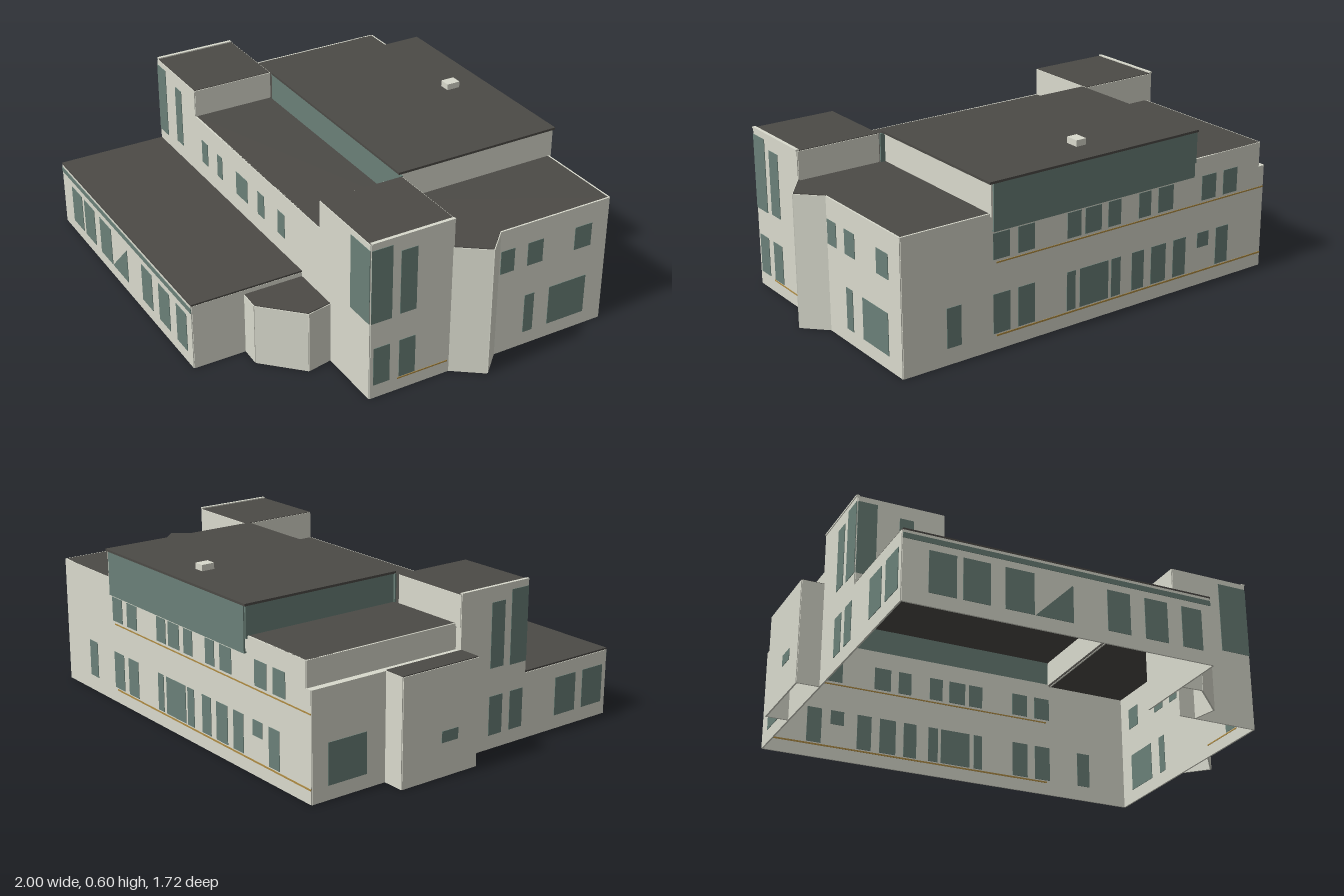
import * as THREE from 'three';

const mat = (name, color) => {
  const m = new THREE.MeshStandardMaterial({ color, side: THREE.DoubleSide });
  m.name = name;
  return m;
};

export function createModel() {
  const wall = mat('plaster', 0xd9dacd);
  const glass = mat('greenGlass', 0x6a8078);
  const roof = mat('roofing', 0x4c4a46);
  const trim = mat('ochreTrim', 0xb08d45);

  const root = new THREE.Group();
  root.name = 'building';
  // the plan is laid out square and turned 45 degrees
  const plan = new THREE.Group();
  plan.name = 'plan';
  plan.rotation.y = -Math.PI / 4;
  root.add(plan);

  const box = (name, m, u0, u1, y0, y1, v0, v1) => {
    const b = new THREE.Mesh(new THREE.BoxGeometry(u1 - u0, y1 - y0, v1 - v0), m);
    b.position.set((u0 + u1) / 2, (y0 + y1) / 2, (v0 + v1) / 2);
    b.name = name;
    plan.add(b);
    return b;
  };
  const T = 0.003; // half wall thickness
  const P = 0.0049; // half pane thickness
  // plate facing along u, or along v
  const uPlate = (name, m, u, v0, v1, y0, y1, t = T) => box(name, m, u - t, u + t, y0, y1, v0, v1);
  const vPlate = (name, m, v, u0, u1, y0, y1, t = T) => box(name, m, u0, u1, y0, y1, v - t, v + t);
  const slab = (name, u0, u1, v0, v1, y) => box(name, roof, u0, u1, y - 0.008, y, v0, v1);

  const U0 = -0.658, U1 = 0.85, V0 = -0.562, V1 = 0.351, VW = 0.755;
  const H = 0.47, HT = 0.57, HW = 0.24;

  // main block walls
  vPlate('longWall', wall, V0, U0, U1, 0, 0.38);
  vPlate('longWallUpper', wall, V0, U0 + 0.025, U1, 0.38, H);
  uPlate('endWall', wall, U1, V0, V1, 0, H);
  uPlate('rearWall', wall, U0, V0, V1, 0, 0.38);
  uPlate('rearWallUpper', wall, U0 + 0.025, V0, 0.05, 0.38, H);
  box('rearLedge', wall, U0, U0 + 0.025, 0.374, 0.38, V0, 0.05);
  vPlate('innerWall', wall, V1, U0, 0.545, 0.22, H);

  // main roofs around the raised hall
  slab('endRoof', 0.515, U1, V0, 0.05, H);
  slab('rearRoof', U0 + 0.025, -0.325, V0, 0.05, H);
  slab('sideRoof', -0.35, 0.545, 0.045, V1, H);

  // raised hall with glazed sides
  vPlate('clerestory', glass, 0.045, -0.335, 0.54, H - 0.01, 0.57);
  vPlate('hangingGlazing', glass, -0.572, -0.32, 0.515, 0.41, 0.575);
  box('glazingSoffit', glass, -0.32, 0.515, 0.41, 0.415, -0.572, V0);
  uPlate('hallRearGlazing', glass, -0.325, -0.572, 0.045, H - 0.01, 0.57);
  uPlate('hallEndWall', wall, 0.52, -0.572, 0.045, H - 0.01, 0.57);
  slab('hallRoof', -0.33, 0.53, -0.576, 0.05, 0.578);
  box('roofVent', wall, 0.07, 0.11, 0.578, 0.6, -0.47, -0.42);

  // two corner stair towers
  for (const [name, a, b, outer] of [['rearTower', U0, -0.35, U0], ['frontTower', 0.545, U1, U1]]) {
    const front = outer === U1;
    const inner = front ? a : b;
    uPlate(name + 'OuterWall', wall, outer, 0.05, V1, 0.37, HT);
    uPlate(name + 'InnerWall', wall, inner, 0.05, V1, H - 0.01, HT);
    vPlate(name + 'SideWall', wall, V1, a, b, front ? 0 : 0.22, HT);
    vPlate(name + 'BackWall', wall, 0.05, a, b, H - 0.01, HT);
    slab(name + 'Roof', a, b, 0.05, V1, HT + 0.002);
    uPlate(name + 'Parapet', wall, outer, 0.05, V1, HT, HT + 0.006, 0.006);
    // tall corner glazing and stair windows
    uPlate(name + 'CornerWindow', glass, outer, 0.275, V1, 0.285, 0.55, P);
    const c = front ? [0.737, U1] : [U0, -0.59];
    vPlate(name + 'CornerWindow', glass, V1, c[0], c[1], 0.285, 0.55, P);
    uPlate(name + 'TallWindow', glass, outer, 0.185, 0.245, 0.29, 0.52, P);
    for (const v of [0.185, 0.28]) uPlate(name + 'LowWindow', glass, outer, v, v + 0.06, 0.05, 0.19, P);
  }
  vPlate('tallSideWindow', glass, V1, -0.51, -0.46, 0.3, 0.52, P);

  // low wing
  vPlate('wingWall', wall, VW, U0, 0.424, 0, HW);
  uPlate('wingEnd', wall, 0.424, V1, VW, 0, HW);
  uPlate('wingRearEnd', wall, U0, V1, VW, 0, HW);
  slab('wingRoof', U0, 0.426, V1, VW + 0.003, HW + 0.006);
  vPlate('wingFascia', glass, VW, U0, 0.424, 0.212, 0.23, P);
  for (const v of [0.5, 0.635]) uPlate('wingEndWindow', glass, U0, v, v + 0.1, 0.05, 0.19, P);
  for (const [x0, x1] of [[-0.94, -0.875], [-0.86, -0.795], [-0.76, -0.69], [-0.508, -0.45], [-0.412, -0.353], [-0.315, -0.262]])
    vPlate('wingWindow', glass, VW, 1.414 * x0 + 0.757, 1.414 * x1 + 0.757, 0.045, 0.188, P);
  const tri = new THREE.Shape([[-0.215, 0.045], [-0.083, 0.045], [-0.083, 0.175]].map(p => new THREE.Vector2(...p)));
  const slant = new THREE.Mesh(new THREE.ExtrudeGeometry(tri, { depth: 2 * P, bevelEnabled: false }), glass);
  slant.position.z = VW - P;
  slant.name = 'slantedWindow';
  plan.add(slant);

  // bays with angled walls: outline points run along the outside
  const bay = (name, pts, h, back) => {
    for (let i = 0; i + 1 < pts.length; i++) {
      const [a, b] = pts[i], [c, d] = pts[i + 1];
      const w = new THREE.Mesh(new THREE.BoxGeometry(Math.hypot(c - a, d - b), h, 2 * T), wall);
      w.position.set((a + c) / 2, h / 2, (b + d) / 2);
      w.rotation.y = -Math.atan2(d - b, c - a);
      w.name = name + 'Wall';
      plan.add(w);
    }
    const s = new THREE.Shape([...pts, ...back].map(p => new THREE.Vector2(...p)));
    const g = new THREE.ExtrudeGeometry(s, { depth: 0.008, bevelEnabled: false }).rotateX(Math.PI / 2);
    const r = new THREE.Mesh(g, roof);
    r.position.y = h + 0.003;
    r.name = name + 'Roof';
    plan.add(r);
  };
  bay('frontBay', [[0.424, 0.566], [0.499, 0.569], [0.626, 0.442], [0.608, 0.351]], 0.222, [[0.424, 0.351]]);
  bay('entranceBay', [[0.85, 0.052], [0.926, -0.049], [0.85, -0.127]], H, []);
  bay('rearAnnex', [[U0, 0.055], [-0.74, 0.055], [-0.74, -0.265], [U0, -0.265]], 0.38, []);
  uPlate('annexHatch', glass, -0.74, -0.1, -0.03, 0.12, 0.16, P);

  // small upper windows on the inner wall
  for (const [x0, x1] of [[-0.46, -0.428], [-0.374, -0.348], [-0.272, -0.214], [-0.16, -0.128], [-0.06, -0.027]])
    vPlate('innerWindow', glass, V1, 1.414 * x0 + 0.351, 1.414 * x1 + 0.351, 0.31, 0.397, P);

  // end wall windows
  for (const [x0, x1, y0, y1] of [[0.695, 0.733, 0.31, 0.395], [0.77, 0.813, 0.31, 0.395], [0.904, 0.952, 0.31, 0.395],
    [0.77, 0.797, 0.05, 0.195], [0.84, 0.946, 0.05, 0.195]])
    uPlate('endWindow', glass, U1, 0.85 - 1.414 * x1, 0.85 - 1.414 * x0, y0, y1, P);

  // rear wall window
  uPlate('rearWindow', glass, U0, -0.5, -0.345, 0.05, 0.195, P);

  // long wall windows, two floors
  const row = (list, y0, y1) => list.forEach(([z0, z1]) =>
    vPlate('longWallWindow', glass, V0, 1.414 * z1 + 0.565, 1.414 * z0 + 0.565, y0, y1, P));
  row([[-0.037, -0.083], [-0.106, -0.152], [-0.245, -0.285], [-0.297, -0.345], [-0.365, -0.403], [-0.458, -0.495],
    [-0.518, -0.565], [-0.657, -0.703], [-0.727, -0.773]], 0.313, 0.402);
  row([[0.088, 0.05], [-0.037, -0.083], [-0.106, -0.152], [-0.245, -0.27], [-0.283, -0.368], [-0.377, -0.405],
    [-0.44, -0.477], [-0.5, -0.546], [-0.57, -0.61], [-0.71, -0.75]], 0.058, 0.195);
  row([[-0.648, -0.685]], 0.14, 0.195);

  // ochre sill lines
  vPlate('lowerSill', trim, V0, U0, 0.5, 0.047, 0.053, 0.0045);
  vPlate('upperSill', trim, V0, U0, 0.5, 0.299, 0.304, 0.0045);
  uPlate('towerSill', trim, U1, 0.06, 0.25, 0.042, 0.047, 0.0045);
  return root;
}
